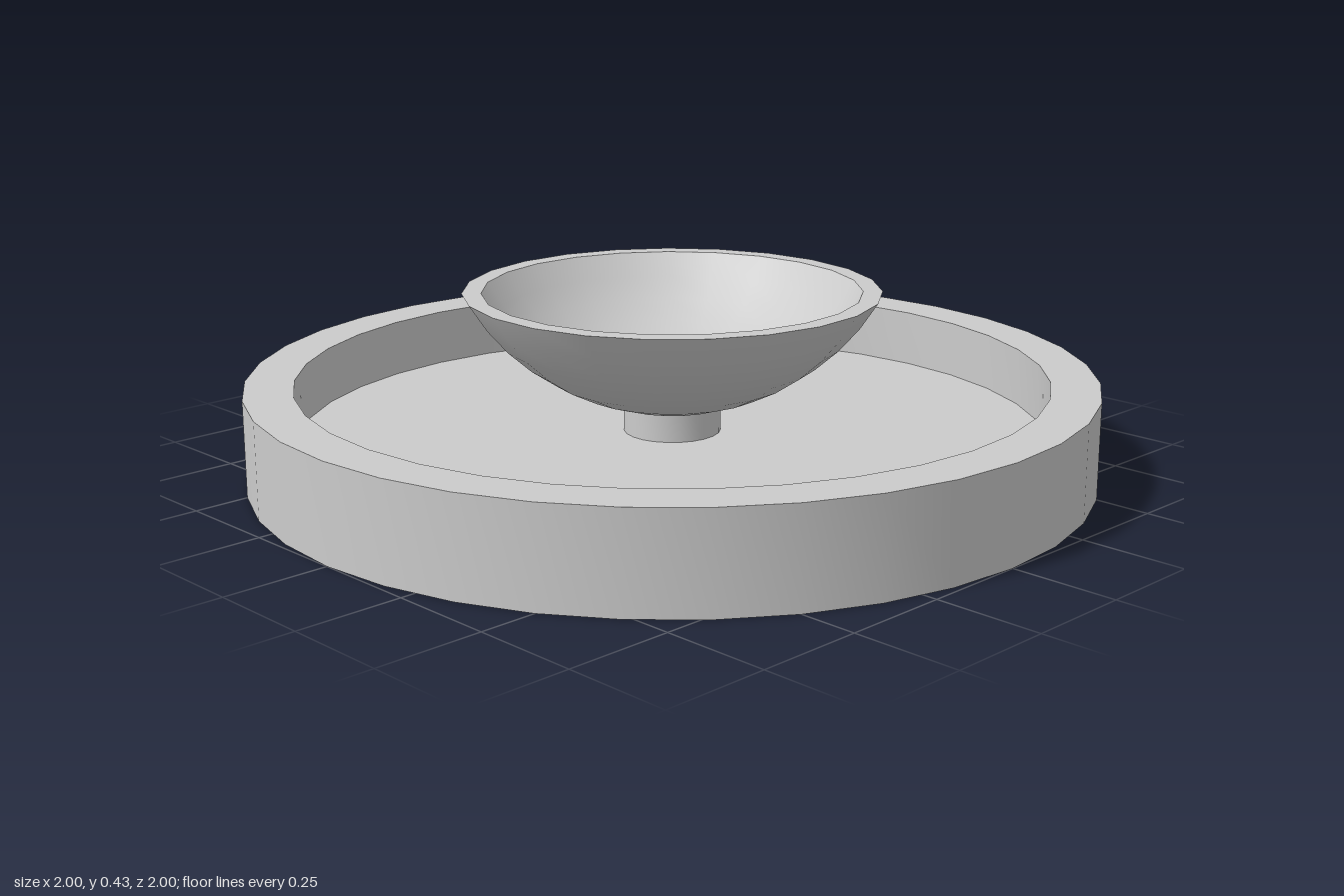
import * as THREE from 'three';
import { toCreasedNormals } from 'three/addons/utils/BufferGeometryUtils.js';

const material = new THREE.MeshStandardMaterial({ color: 0xcccccc });

// Revolve a profile of [radius, height] pairs, keeping its corners sharp
function turned(name, profile, segments) {
  const points = profile.map(([r, y]) => new THREE.Vector2(r, y));
  const lathe = new THREE.LatheGeometry(points, segments, Math.PI);
  const mesh = new THREE.Mesh(toCreasedNormals(lathe, 0.6), material);
  mesh.name = name;
  return mesh;
}

// Points on a spherical bowl curve, from the axis out to the rim height
function bowlArc(radius, centreY, rimY, steps) {
  const end = Math.acos((centreY - rimY) / radius);
  return Array.from({ length: steps + 1 }, (_, i) => {
    const a = (end * i) / steps;
    return [radius * Math.sin(a), centreY - radius * Math.cos(a)];
  });
}

export function createModel() {
  const group = new THREE.Group();
  group.name = 'fountain';

  const floorY = 0.09, basinTop = 0.228, bowlTop = 0.43, bowlCentre = 0.71;

  // Wide round basin with a flat floor and thick wall
  group.add(turned('basin', [
    [0, 0], [1, 0], [1, basinTop], [0.885, basinTop], [0.885, floorY], [0, floorY],
  ], 36));

  // Short stem between the basin floor and the bowl
  group.add(turned('stem', [
    [0, floorY - 0.02], [0.115, floorY - 0.02], [0.115, 0.165], [0, 0.165],
  ], 23));

  // Shallow bowl: outer shell up to the rim, then the inner shell back down
  group.add(turned('bowl', [
    ...bowlArc(0.566, bowlCentre, bowlTop, 8),
    ...bowlArc(0.527, bowlCentre, bowlTop, 8).reverse(),
  ], 23));

  return group;
}
